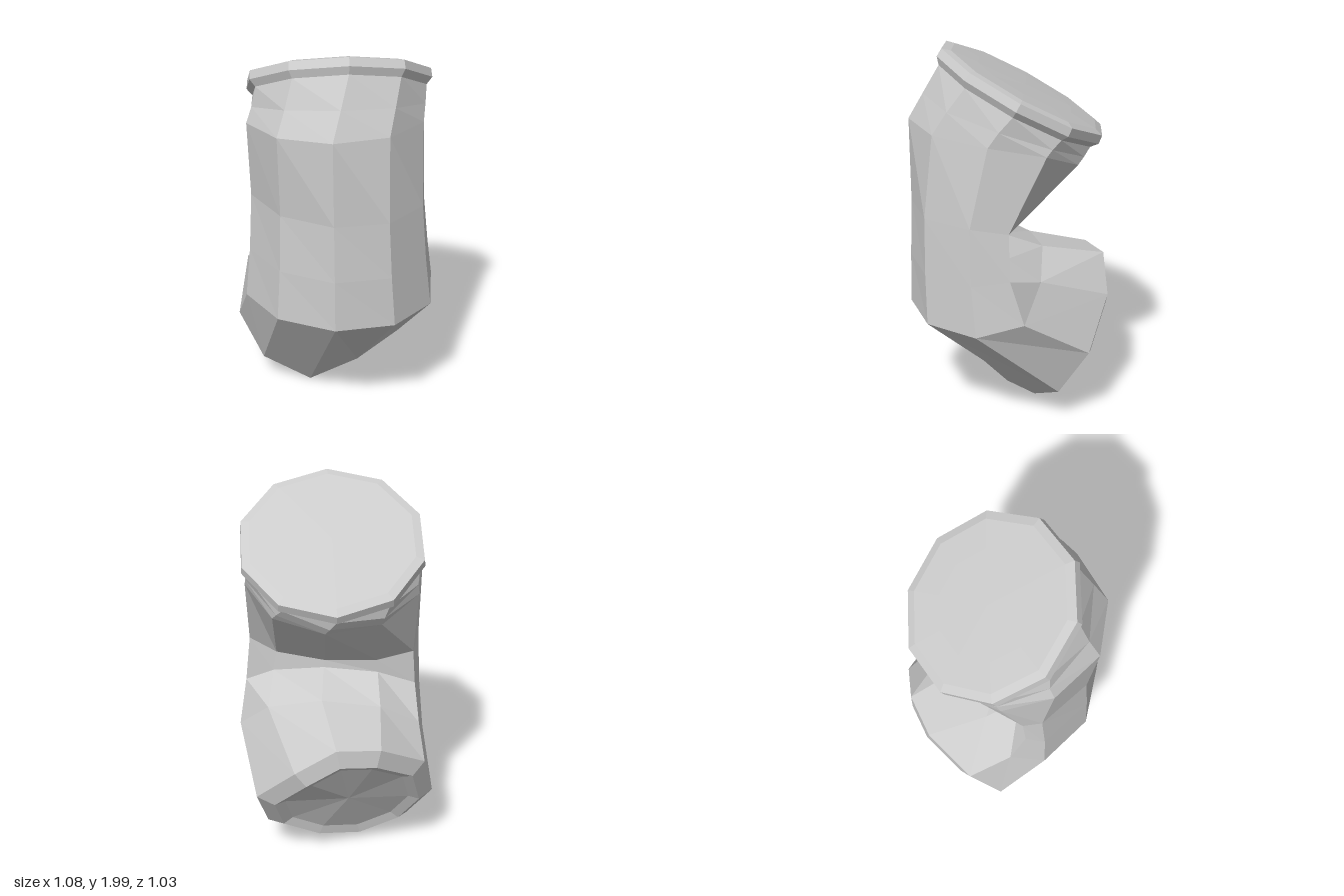
import * as THREE from 'three';

const SIDES = 10;

// Bend frame: s runs to the outside of the bend, p runs across it.
const toWorld = (s, y, p) => [(s + p) * Math.SQRT1_2, y, (s - p) * Math.SQRT1_2];

// A ring around centre c: "out" and "inn" are its half-axes towards the outside
// and inside of the bend, "side" is the half-axis across it. All are [s, y, p].
function ring(c, out, inn, side, turn = -6) {
  const points = [];
  for (let j = 0; j < SIDES; j++) {
    const a = THREE.MathUtils.degToRad(turn + (j * 360) / SIDES);
    const f = Math.cos(a), g = Math.sin(a);
    const axis = f > 0 ? out : inn;
    points.push(toWorld(...c.map((v, k) => v + Math.abs(f) * axis[k] + g * side[k])));
  }
  return points;
}

// Rim of the lower end, slightly irregular, with its centre and normal
const ARM = [
  [-0.09, 0.005, 0.11], [0.03, 0.06, -0.15], [0.14, 0.19, -0.37], [0.07, 0.43, -0.51], [-0.18, 0.66, -0.47],
  [-0.35, 0.81, -0.34], [-0.48, 0.79, -0.15], [-0.53, 0.63, 0.13], [-0.46, 0.36, 0.28], [-0.29, 0.14, 0.27],
];
const ARM_CENTRE = [-0.215, 0.41, -0.12];
const ARM_NORMAL = [-0.72, -0.49, -0.49];

// The lower rim moved along its normal and scaled
const lower = (shift, scale) =>
  ARM.map((v) => v.map((q, k) => ARM_CENTRE[k] + (q - ARM_CENTRE[k]) * scale + ARM_NORMAL[k] * shift));

// A round ring of the upper end, tilted towards the inside of the bend
const upper = (shift, r) =>
  ring([-0.04 - 0.485 * shift, 1.765 + 0.875 * shift, 0.015],
    [0.875 * r, 0.485 * r, 0], [-0.875 * r, -0.485 * r, 0], [0, 0, r], 3);

// Skin a stack of rings; a zero-size ring closes the end
function skin(name, rings, material) {
  const pos = [];
  const same = (a, b) => a.every((v, k) => Math.abs(v - b[k]) < 1e-6);
  const tri = (a, b, c) => {
    if (!same(a, b) && !same(b, c) && !same(a, c)) pos.push(...a, ...b, ...c);
  };
  for (let i = 0; i < rings.length - 1; i++) {
    for (let j = 0; j < SIDES; j++) {
      const k = (j + 1) % SIDES;
      tri(rings[i][j], rings[i][k], rings[i + 1][j]);
      tri(rings[i][k], rings[i + 1][k], rings[i + 1][j]);
    }
  }
  const geometry = new THREE.BufferGeometry();
  geometry.setAttribute('position', new THREE.Float32BufferAttribute(pos, 3));
  geometry.computeVertexNormals();
  const mesh = new THREE.Mesh(geometry, material);
  mesh.name = name;
  return mesh;
}

export function createModel() {
  const group = new THREE.Group();
  group.name = 'bentPipe';
  const material = new THREE.MeshStandardMaterial({ color: 0xcccccc, flatShading: true });
  const neck = upper(-0.08, 0.45);

  // Bevelled lower end with a shallow recess
  group.add(skin('lowerEnd', [lower(0.035, 0), lower(0.035, 0.7), lower(0.055, 0.82), ARM], material));

  // Curved body, pinched into a crease on the inside of the bend
  group.add(skin('body', [
    ARM,
    ring([0.06, 0.61, 0.015], [0.5, 0, 0], [-0.2, 0.3, 0], [0.035, 0, 0.505]),
    ring([0.075, 0.88, 0.01], [0.48, 0, 0], [0, 0.115, 0], [0.045, 0, 0.475]),
    ring([0.065, 1.18, 0.005], [0.48, 0, 0], [0.01, -0.145, 0], [0.055, 0, 0.455]),
    ring([0.03, 1.58, 0], [0.51, 0.04, 0], [-0.37, -0.19, 0], [-0.02, 0, 0.465]),
    ring([0.01, 1.63, 0.01], [0.46, 0.13, 0], [-0.385, -0.2, 0], [0, 0, 0.455], -2),
    neck,
  ], material));

  // Collar and gently domed upper end
  group.add(skin('upperCollar', [
    neck, upper(-0.045, 0.48), upper(0, 0.475),
    upper(0.012, 0.43), upper(0.017, 0.28), upper(0.019, 0),
  ], material));

  return group;
}
